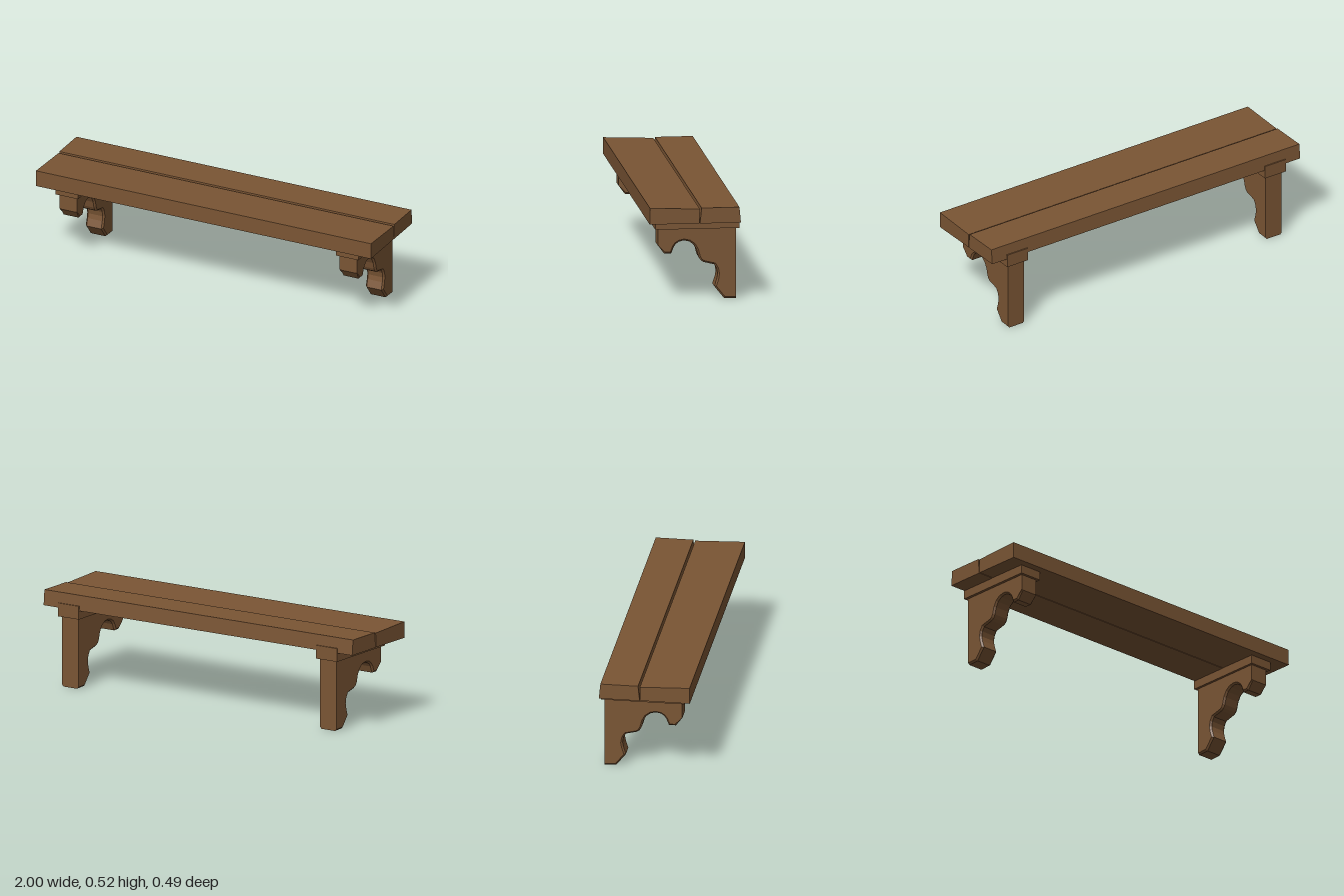
import * as THREE from 'three';

// Extrudes a [z, y] outline along x, centred on x = 0
function extrudeAlongX(points, width, bevel = 0) {
  const shape = new THREE.Shape(points.map(([z, y]) => new THREE.Vector2(z, y)));
  const geometry = new THREE.ExtrudeGeometry(shape, {
    depth: width - 2 * bevel,
    bevelEnabled: bevel > 0,
    bevelThickness: bevel,
    bevelSize: bevel,
    bevelOffset: -bevel,
    bevelSegments: 1,
  });
  geometry.translate(0, 0, bevel - width / 2);
  return geometry.rotateY(-Math.PI / 2);
}

// Scrolled bracket: only the carved underside is chamfered, front and back stay flat
function bracketGeometry() {
  const outline = [
    [0.19, 0.42], [0.19, 0.298], [0.155, 0.251], [0.117, 0.251],
    [0.102, 0.288], [0.092, 0.302], [0.075, 0.314], [0.05, 0.32],
    [0.02, 0.314], [-0.005, 0.295], [-0.02, 0.268], [-0.03, 0.23],
    [-0.04, 0.212], [-0.055, 0.201], [-0.115, 0.186], [-0.128, 0.163],
    [-0.133, 0.135], [-0.128, 0.108], [-0.115, 0.067], [-0.166, 0.003],
    [-0.23, 0], [-0.23, 0.42],
  ];
  const geometry = extrudeAlongX(outline, 0.105, 0.009);
  const pos = geometry.attributes.position;
  for (let i = 0; i < pos.count; i++) {
    if (pos.getZ(i) > 0.178) pos.setZ(i, 0.19);
    if (pos.getZ(i) < -0.218) pos.setZ(i, -0.23);
  }
  geometry.computeVertexNormals();
  return geometry;
}

export function createModel() {
  const group = new THREE.Group();
  const wood = new THREE.MeshStandardMaterial({ color: 0x7a5534 });
  wood.name = 'brown wood';

  const add = (name, geometry, x = 0, y = 0, z = 0) => {
    const mesh = new THREE.Mesh(geometry, wood);
    mesh.name = name;
    mesh.position.set(x, y, z);
    group.add(mesh);
  };

  // Two planks with a narrow V-shaped gap between them
  add('frontPlank', extrudeAlongX(
    [[0.247, 0.433], [0.246, 0.522], [-0.022, 0.512], [-0.02, 0.434]].reverse(), 2));
  add('backPlank', extrudeAlongX(
    [[-0.023, 0.433], [-0.032, 0.517], [-0.235, 0.517], [-0.243, 0.433]].reverse(), 2));

  // Mirrored supports, each a cap block on a bracket
  const bracket = bracketGeometry();
  const cap = new THREE.BoxGeometry(0.135, 0.073, 0.452);
  for (const [side, s] of [['left', 1], ['right', -1]]) {
    add(side + 'Cap', cap, s * 0.837, 0.4225, -0.021);
    add(side + 'Bracket', bracket, s * 0.836);
  }
  return group;
}
